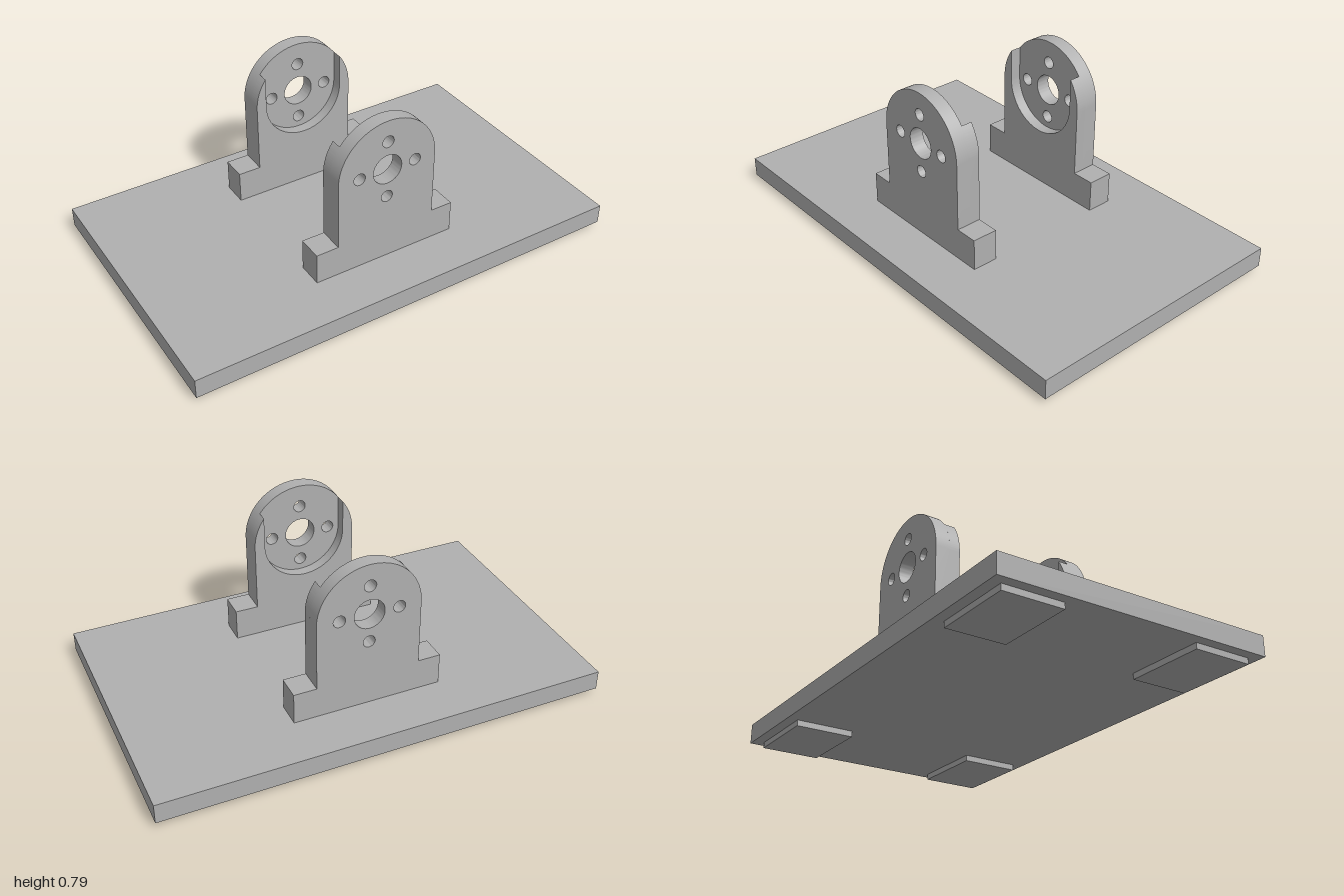
import * as THREE from 'three';
import { toCreasedNormals } from 'three/addons/utils/BufferGeometryUtils.js';

const PLATE_TOP = 0.115, PLATE_BOTTOM = 0.026;
const AXIS = 0.558;                      // height of the bore
const OUTER = 0.232, POCKET = 0.186;     // radii of bracket and pocket
const FLANGE_X = 0.334, FLANGE_TOP = 0.257;
const Z_IN = 0.271, Z_FLOOR = 0.32, Z_OUT = 0.385;

// Bracket outline; the pocketed version has a U-shaped slot open at the top
function bracketShape(pocketed) {
  const s = new THREE.Shape();
  s.moveTo(-FLANGE_X, PLATE_TOP);
  s.lineTo(FLANGE_X, PLATE_TOP);
  s.lineTo(FLANGE_X, FLANGE_TOP);
  s.lineTo(OUTER, FLANGE_TOP);
  s.lineTo(OUTER, AXIS);
  if (pocketed) {
    const a = Math.acos(POCKET / OUTER);
    s.absarc(0, AXIS, OUTER, 0, a, false);
    s.lineTo(POCKET, AXIS);
    s.absarc(0, AXIS, POCKET, 0, -Math.PI, true);
    s.absarc(0, AXIS, OUTER, Math.PI - a, Math.PI, false);
  } else {
    s.absarc(0, AXIS, OUTER, 0, Math.PI, false);
  }
  s.lineTo(-OUTER, FLANGE_TOP);
  s.lineTo(-FLANGE_X, FLANGE_TOP);
  s.closePath();
  return s;
}

function addHole(shape, x, y, r) {
  const hole = new THREE.Path();
  hole.absarc(x, y, r, 0, Math.PI * 2, true);
  shape.holes.push(hole);
}

function extrude(shape, z0, z1) {
  const g = new THREE.ExtrudeGeometry(shape, { depth: z1 - z0, bevelEnabled: false, curveSegments: 32 });
  g.translate(0, 0, z0);
  return toCreasedNormals(g, 0.5);
}

export function createModel() {
  const model = new THREE.Group();
  const grey = new THREE.MeshStandardMaterial({ color: 0xb0b0b0 });
  grey.name = 'grey';

  const add = (parent, name, geometry) => {
    const mesh = new THREE.Mesh(geometry, grey);
    mesh.name = name;
    parent.add(mesh);
    return mesh;
  };

  // Base plate
  const plate = add(model, 'basePlate', new THREE.BoxGeometry(2, PLATE_TOP - PLATE_BOTTOM, 1.224));
  plate.position.y = (PLATE_TOP + PLATE_BOTTOM) / 2;

  // Four thin pads under the corners
  const padGeometry = new THREE.BoxGeometry(0.356, PLATE_BOTTOM, 0.264);
  for (const x of [-1, 1]) {
    for (const z of [-1, 1]) {
      const pad = add(model, 'footPad', padGeometry);
      pad.position.set(x * 0.778, PLATE_BOTTOM / 2, z * 0.433);
    }
  }

  // Bracket wall with a central bore and four bolt holes
  const wall = bracketShape(false);
  addHole(wall, 0, AXIS, 0.068);
  for (let i = 0; i < 4; i++) {
    const a = i * Math.PI / 2;
    addHole(wall, 0.133 * Math.cos(a), AXIS + 0.133 * Math.sin(a), 0.027);
  }
  const wallGeometry = extrude(wall, Z_FLOOR, Z_OUT);
  const rimGeometry = extrude(bracketShape(true), Z_IN, Z_FLOOR);

  // Two brackets with their pockets facing each other
  for (const [name, turn] of [['frontBracket', 0], ['rearBracket', Math.PI]]) {
    const bracket = new THREE.Group();
    bracket.name = name;
    bracket.rotation.y = turn;
    add(bracket, 'bracketWall', wallGeometry);
    add(bracket, 'pocketRim', rimGeometry);
    model.add(bracket);
  }

  return model;
}
